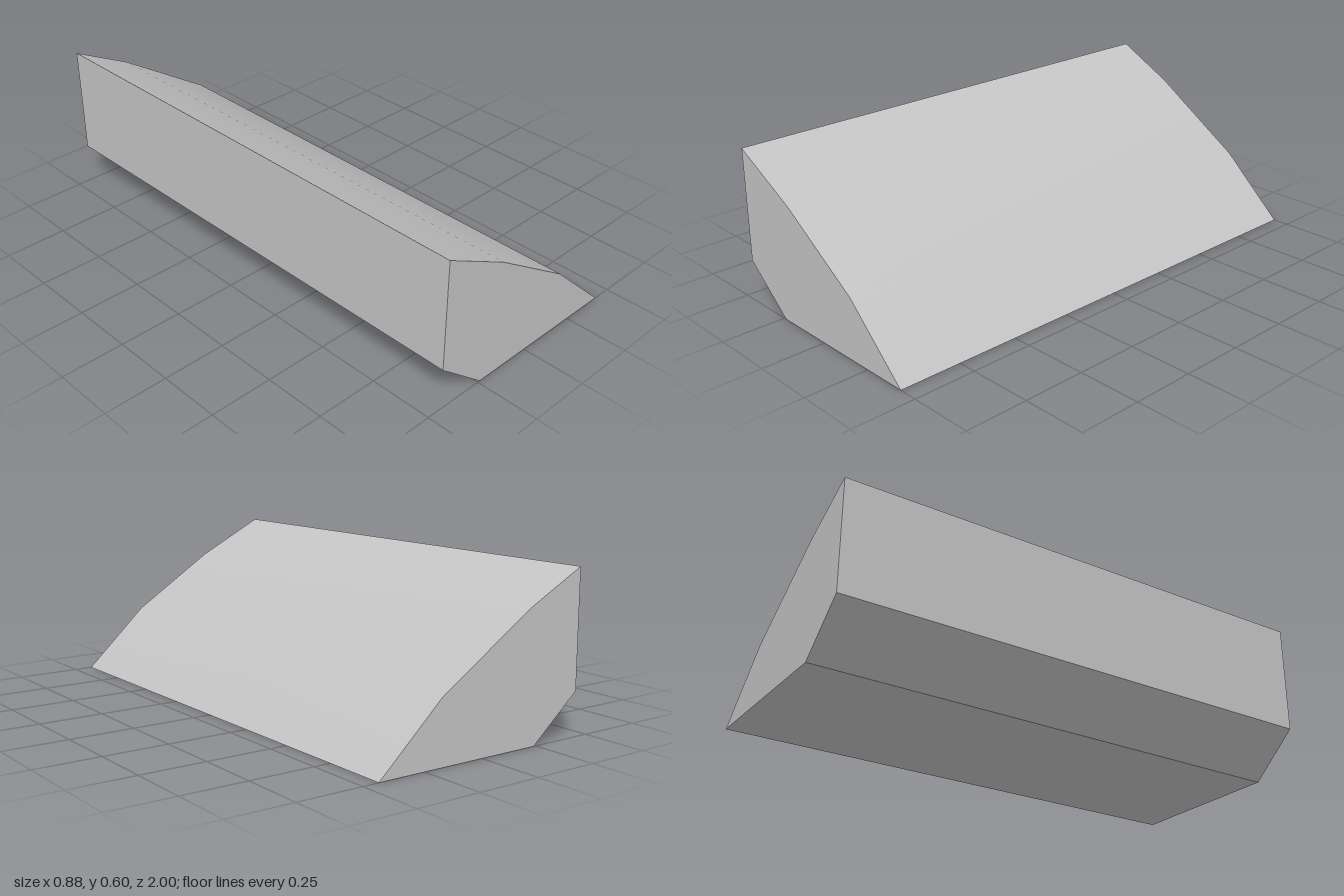
import * as THREE from 'three';

// End outlines, counterclockwise seen from the front; points 1 to 4 are the curved top
const FRONT = [[-0.24, 0], [0.427, 0], [0.17, 0.24], [-0.165, 0.457], [-0.44, 0.6], [-0.44, 0.165]];
const BACK = [[-0.24, 0], [0.437, 0], [0.18, 0.233], [-0.205, 0.48], [-0.44, 0.6], [-0.44, 0.165]];

function surface(points, index) {
  const geometry = new THREE.BufferGeometry();
  geometry.setAttribute('position', new THREE.Float32BufferAttribute(points.flat(), 3));
  geometry.setIndex(index);
  geometry.computeVertexNormals();
  return geometry;
}

// Strip between the two ends along the given outline corners, smooth within itself
function strip(corners) {
  const points = [];
  const index = [];
  corners.forEach((c, i) => {
    points.push([...FRONT[c], 1], [...BACK[c], -1]);
    if (i > 0) {
      const a = 2 * (i - 1);
      index.push(a, a + 1, a + 3, a, a + 3, a + 2);
    }
  });
  return surface(points, index);
}

// Flat end as a triangle fan
function cap(outline, z) {
  const index = [];
  for (let i = 1; i < outline.length - 1; i++) {
    index.push(...(z > 0 ? [0, i, i + 1] : [0, i + 1, i]));
  }
  return surface(outline.map((p) => [...p, z]), index);
}

export function createModel() {
  const group = new THREE.Group();
  group.name = 'wedgeBlock';
  const grey = new THREE.MeshStandardMaterial({ color: 0xc4c4c4 });
  grey.name = 'grey';

  const parts = {
    curvedTop: strip([1, 2, 3, 4]),
    sideWall: strip([4, 5]),
    lowerBevel: strip([5, 0]),
    base: strip([0, 1]),
    frontEnd: cap(FRONT, 1),
    backEnd: cap(BACK, -1),
  };
  for (const [name, geometry] of Object.entries(parts)) {
    const mesh = new THREE.Mesh(geometry, grey);
    mesh.name = name;
    group.add(mesh);
  }
  return group;
}
